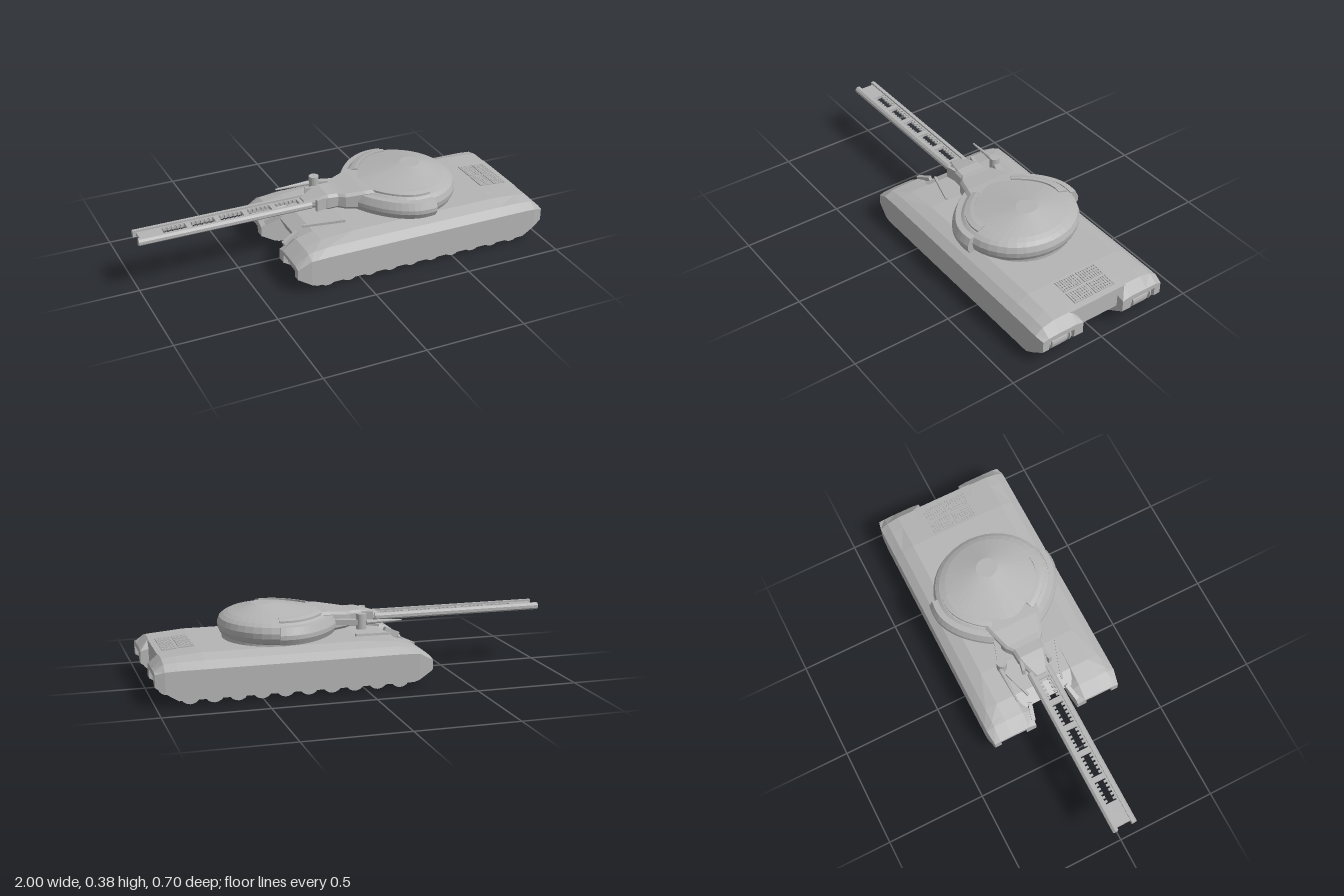
import * as THREE from 'three';

const grey = new THREE.MeshStandardMaterial({ color: 0xb4b4b4 });
grey.name = 'armour grey';
grey.flatShading = true;

// Closed solid through matching 2D profiles; place(u, v, i) puts each point in space
function loft(profiles, place) {
  const rings = profiles.map((p, i) => p.map(([u, v]) => place(u, v, i)));
  const tris = [];
  const n = rings[0].length;
  for (let i = 0; i < rings.length - 1; i++) {
    for (let j = 0; j < n; j++) {
      const k = (j + 1) % n, a = rings[i], b = rings[i + 1];
      tris.push([a[j], a[k], b[k]], [a[j], b[k], b[j]]);
    }
  }
  const area = (p) => THREE.ShapeUtils.area(p);
  [0, rings.length - 1].forEach((e) => {
    const flat = profiles[e].map(([u, v]) => new THREE.Vector2(u, v));
    const sign = Math.sign(area(flat)) * (e === 0 ? -1 : 1);
    for (const t of THREE.ShapeUtils.triangulateShape(flat.slice(), [])) {
      if (area(t.map((q) => flat[q])) * sign < 0) t.reverse();
      tris.push(t.map((q) => rings[e][q]));
    }
  });
  // Turn the solid right side out
  let volume = 0;
  const va = new THREE.Vector3(), vb = new THREE.Vector3(), vc = new THREE.Vector3();
  for (const [a, b, c] of tris) volume += va.fromArray(a).dot(vb.fromArray(b).cross(vc.fromArray(c)));
  if (volume < 0) tris.forEach((t) => t.reverse());
  const g = new THREE.BufferGeometry();
  g.setAttribute('position', new THREE.Float32BufferAttribute(tris.flat(2), 3));
  g.computeVertexNormals();
  return g;
}

function add(parent, name, geometry, x = 0, y = 0, z = 0) {
  const m = new THREE.Mesh(geometry, grey);
  m.name = name;
  m.position.set(x, y, z);
  parent.add(m);
  return m;
}
const box = (parent, name, w, h, d, x, y, z) => add(parent, name, new THREE.BoxGeometry(w, h, d), x, y, z);

// Turret plan: round at the back, narrower toward the gun
function plan(angle, s) {
  const c = Math.cos(angle), narrow = c < 0 ? 1 - 0.25 * c * c : 1;
  return [0.36 + 0.28 * c * s, 0.3 * Math.sin(angle) * s * narrow];
}

function trackPod(side) {
  const pod = new THREE.Group();
  pod.name = side > 0 ? 'leftTrackPod' : 'rightTrackPod';
  // x, bottom, shoulder, upper edge, deck, channel roof, channel narrowing, outer z
  const sections = [
    [-0.33, 0.075, 0.125, 0.134, 0.138, 0.118, 0.025, 0.34],
    [-0.262, 0.035, 0.162, 0.182, 0.187, 0.13, 0.025, 0.35],
    [-0.235, 0.025, 0.163, 0.187, 0.193, 0.13, 0, 0.35],
    [-0.17, 0.025, 0.165, 0.195, 0.208, 0.13, 0, 0.35],
    [0, 0.025, 0.165, 0.197, 0.22, 0.13, 0, 0.35],
    [0.77, 0.025, 0.165, 0.197, 0.22, 0.13, 0, 0.35],
    [0.895, 0.025, 0.165, 0.195, 0.21, 0.135, 0, 0.35],
    [0.955, 0.063, 0.163, 0.19, 0.204, 0.135, 0.025, 0.35],
    [1, 0.092, 0.152, 0.158, 0.16, 0.135, 0.025, 0.34],
  ];
  const profiles = sections.map(([, b, s, e, d, r, k, o]) => [
    [o, b], [o, s], [0.31, e], [0.25, d], [0.155, d], [0.115, s], [0.115, b],
    [0.14 + k, b], [0.14 + k, r], [0.33 - k, r], [0.33 - k, b],
  ]);
  add(pod, 'trackArmour', loft(profiles, (z, y, i) => [sections[i][0], y, z * side]));

  // Road rollers with two grooves each, then the raised end rollers
  const roller = (name, x, y, r, z0, z1) => {
    const g0 = 0.183, g1 = 0.283, w = 0.008;
    const pts = [[0, z0], [r, z0], [r, g0 - w], [r - 0.01, g0 - w], [r - 0.01, g0 + w], [r, g0 + w],
      [r, g1 - w], [r - 0.01, g1 - w], [r - 0.01, g1 + w], [r, g1 + w], [r, z1], [0, z1]];
    const g = new THREE.LatheGeometry(pts.map(([a, b]) => new THREE.Vector2(a, b - 0.235)), 20);
    g.rotateX(Math.PI / 2);
    add(pod, name, g, x, y, 0.235 * side);
  };
  for (let i = 0; i < 10; i++) roller('roadRoller', -0.17 + i * 0.112, 0.05, 0.05, 0.141, 0.329);
  roller('endRoller', -0.265, 0.085, 0.043, 0.167, 0.303);
  roller('endRoller', 0.94, 0.09, 0.045, 0.167, 0.303);
  return pod;
}

function hull() {
  const g = new THREE.Group();
  g.name = 'hull';
  const side = [[-0.2, 0.09], [-0.17, 0.08], [0.93, 0.08], [0.96, 0.1], [0.96, 0.203],
    [0.895, 0.21], [0.77, 0.22], [0, 0.22], [-0.17, 0.205], [-0.24, 0.17]];
  add(g, 'centreHull', loft([side, side], (x, y, i) => [x, y, i ? 0.16 : -0.16]));
  for (const x of [0.1, 0.4, 0.7]) box(g, 'bellyPlate', 0.16, 0.006, 0.13, x, 0.079, 0);

  // Engine grilles on the rear deck
  const grilles = new THREE.Group();
  grilles.name = 'engineGrilles';
  grilles.position.set(0.855, 0.215, -0.005);
  grilles.rotation.z = -0.085;
  for (const x of [-0.04, 0.04]) {
    for (const z of [-0.06, 0.06]) {
      for (let i = 0; i < 9; i++) box(grilles, 'grilleSlat', 0.07, 0.006, 0.006, x, 0, z + (i - 4) * 0.0128);
      for (let i = 0; i < 5; i++) box(grilles, 'grilleBar', 0.005, 0.005, 0.108, x + (i - 2) * 0.0162, 0, z);
    }
  }
  g.add(grilles);

  // Angled deck fins either side of the gun
  for (const s of [-1, 1]) {
    const fin = box(g, 'deckFin', 0.21, 0.012, 0.012, -0.1, 0.217, 0.125 * s);
    fin.rotation.set(0, -0.32 * s, 0.09);
    const guard = box(g, 'frontGuard', 0.09, 0.025, 0.02, -0.27, 0.165, 0.11 * s);
    guard.rotation.set(0, 0.25 * s, 0.4);
  }
  return g;
}

function turret() {
  const g = new THREE.Group();
  g.name = 'turret';
  add(g, 'turretRing', new THREE.CylinderGeometry(0.25, 0.25, 0.03, 40), 0.37, 0.227, 0);

  // Domed shell, its levels drawn in toward the crown
  const levels = [[0.87, 0.23], [0.95, 0.242], [0.99, 0.265], [1, 0.29], [0.965, 0.318],
    [0.9, 0.332], [0.78, 0.344], [0.18, 0.384]];
  const shell = levels.map(([s]) => Array.from({ length: 40 }, (_, j) => {
    const [x, z] = plan((j / 40) * Math.PI * 2, s);
    return [x + (s < 0.9 && s !== 0.87 ? (0.9 - s) * 0.09 : 0), z];
  }));
  add(g, 'turretShell', loft(shell, (x, z, i) => [x, levels[i][1], z]));

  // Curved cheek armour and the raised pads above it
  const cheek = [[0.95, 0.24], [1.05, 0.24], [1.1, 0.268], [1.1, 0.288], [1.045, 0.323], [0.95, 0.326]];
  const pad = [[0.73, 0.342], [0.73, 0.354], [0.8, 0.351], [0.88, 0.343], [0.88, 0.328]];
  const arc = (name, profile, from, to, s) => {
    const n = 14;
    add(g, name, loft(Array(n + 1).fill(profile), (r, y, i) => {
      const [x, z] = plan(from + ((to - from) * i) / n, r);
      return [x, y, z * s];
    }));
  };
  for (const s of [-1, 1]) {
    arc('cheekArmour', cheek, 1.4, 2.75, s);
    arc('roofPad', pad, 1.4, 2.6, s);
  }

  // Side sensor drum and its slim barrel
  add(g, 'sensorDrum', new THREE.CylinderGeometry(0.025, 0.025, 0.075, 16), -0.03, 0.293, -0.15);
  box(g, 'sensorArm', 0.13, 0.025, 0.03, 0.03, 0.29, -0.135).rotation.y = -0.3;
  const barrel = add(g, 'sensorBarrel', new THREE.CylinderGeometry(0.004, 0.012, 0.18, 10), -0.14, 0.29, -0.165);
  barrel.rotation.z = Math.PI / 2;
  return g;
}

function gun() {
  const g = new THREE.Group();
  g.name = 'railGun';
  // Tapered mantlet: x, half width, bottom, top
  const steps = [[-0.16, 0.035, 0.272, 0.302], [-0.09, 0.062, 0.262, 0.32], [-0.05, 0.072, 0.25, 0.33],
    [0, 0.075, 0.252, 0.328], [0.03, 0.1, 0.25, 0.33], [0.12, 0.13, 0.245, 0.342], [0.2, 0.15, 0.245, 0.346]];
  const rings = steps.map(([, w, b, t]) => {
    const c = 0.013;
    return [[-w, b + c], [-w + c, b], [w - c, b], [w, b + c], [w, t - c], [w - c, t], [-w + c, t], [-w, t - c]];
  });
  add(g, 'mantlet', loft(rings, (z, y, i) => [steps[i][0], y, z]));
  for (const s of [-1, 1]) box(g, 'mantletClamp', 0.09, 0.06, 0.016, -0.07, 0.29, 0.062 * s).rotation.y = 0.2 * s;

  // Slotted bed between two rails
  const bed = new THREE.Shape([[-0.985, -0.045], [-0.05, -0.045], [-0.05, 0.045], [-0.985, 0.045]]
    .map((p) => new THREE.Vector2(...p)));
  const windows = [-0.81, -0.668, -0.525, -0.382, -0.238];
  for (const x of windows) {
    bed.holes.push(new THREE.Path([[x - 0.058, -0.028], [x - 0.058, 0.028], [x + 0.058, 0.028], [x + 0.058, -0.028]]
      .map((p) => new THREE.Vector2(...p))));
  }
  const bedGeometry = new THREE.ExtrudeGeometry(bed, { depth: 0.016, bevelEnabled: false });
  bedGeometry.rotateX(Math.PI / 2);
  add(g, 'gunBed', bedGeometry, 0, 0.294, 0);
  const rail = [[0.036, 0.27], [0.052, 0.27], [0.062, 0.279], [0.062, 0.293], [0.052, 0.303], [0.036, 0.303]];
  for (const s of [-1, 1]) {
    add(g, 'gunRail', loft([rail, rail], (z, y, i) => [i ? -0.13 : -1, y, z * s]));
    for (const x of windows) {
      for (let i = 0; i < 5; i++) box(g, 'coilTooth', 0.011, 0.014, 0.014, x + (i - 2) * 0.022, 0.286, 0.022 * s);
    }
  }
  return g;
}

export function createModel() {
  const model = new THREE.Group();
  model.name = 'tank';
  model.add(hull(), trackPod(1), trackPod(-1), turret(), gun());
  return model;
}
